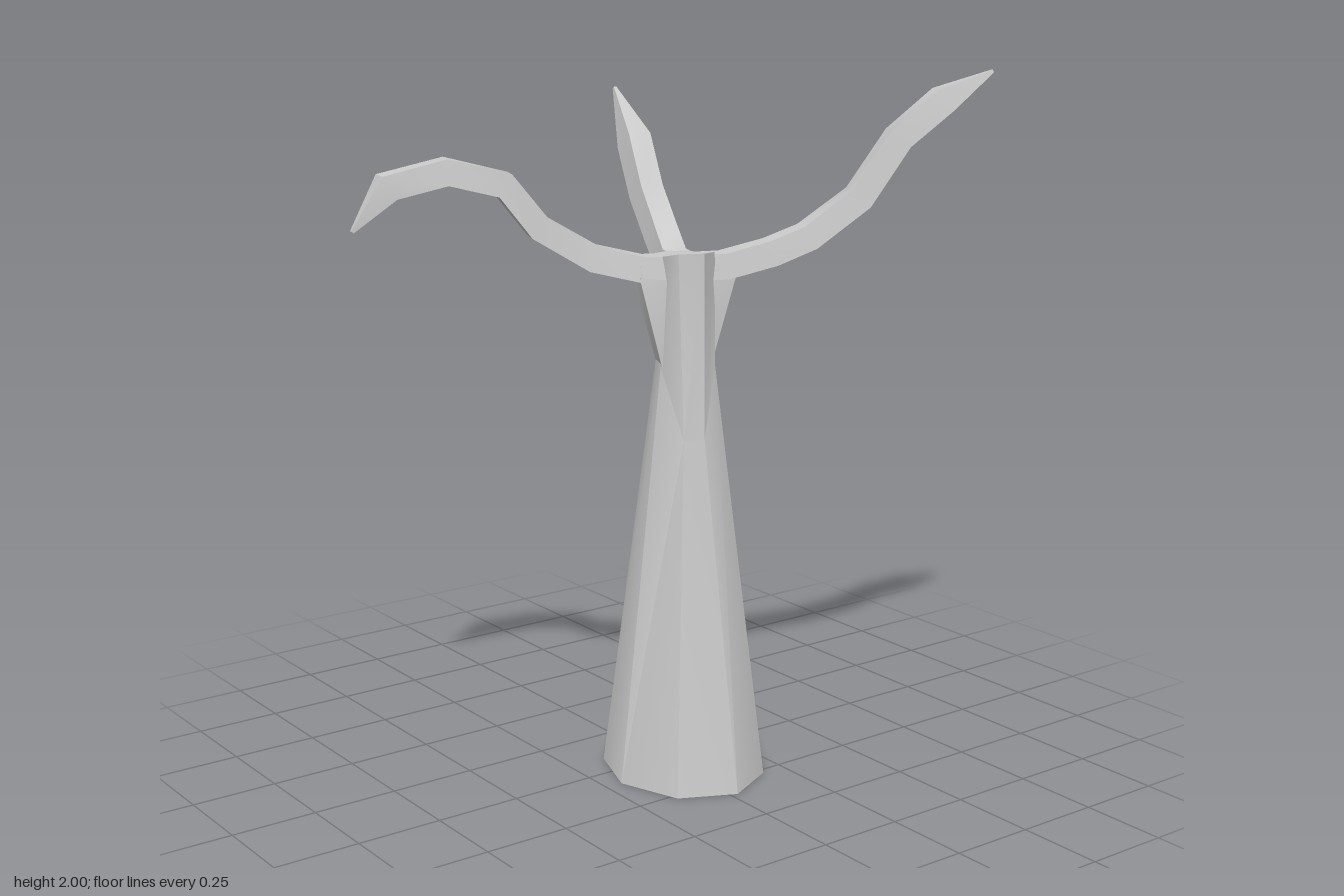
import * as THREE from 'three';
import { toCreasedNormals } from 'three/addons/utils/BufferGeometryUtils.js';

const material = new THREE.MeshStandardMaterial({ color: 0xcccccc });
const CREASE = 0.72;
const CENTRE = new THREE.Vector3(0.02, 1.475, 0.09);
const UP = new THREE.Vector3(0, 1, 0);

// Skin a list of equal-sized rings (counter-clockwise about the path) and close both ends.
function loft(name, rings) {
  const pos = [];
  const tri = (...pts) => pts.forEach((p) => pos.push(p.x, p.y, p.z));
  const n = rings[0].length;
  for (let i = 0; i < rings.length - 1; i++) {
    for (let j = 0; j < n; j++) {
      const k = (j + 1) % n;
      const [a, b, c, d] = [rings[i][j], rings[i][k], rings[i + 1][k], rings[i + 1][j]];
      tri(a, b, c);
      tri(a, c, d);
    }
  }
  const first = rings[0], last = rings[rings.length - 1];
  for (let j = 1; j < n - 1; j++) {
    tri(first[0], first[j + 1], first[j]);
    tri(last[0], last[j], last[j + 1]);
  }
  const geo = new THREE.BufferGeometry();
  geo.setAttribute('position', new THREE.Float32BufferAttribute(pos, 3));
  const mesh = new THREE.Mesh(toCreasedNormals(geo, CREASE), material);
  mesh.name = name;
  return mesh;
}

const points = (list) => list.map((p) => new THREE.Vector3(...p));

// Eight-sided tapering trunk with an uneven neck; rings run front, right, back, left.
function makeTrunk() {
  const base = Array.from({ length: 8 }, (_, i) => {
    const a = (i * Math.PI) / 4;
    return new THREE.Vector3(0.021 + 0.22 * Math.sin(a), 0, 0.089 + 0.257 * Math.cos(a));
  });
  const neck = points([
    [0.021, 1.0, 0.185], [0.08, 1.2, 0.155], [0.092, 1.2, 0.085], [0.075, 1.2, 0.03],
    [0.021, 1.2, 0.005], [-0.035, 1.2, 0.03], [-0.057, 1.2, 0.085], [-0.036, 1.0, 0.165],
  ]);
  const crown = points([
    [0.021, 1.522, 0.18], [0.08, 1.518, 0.15], [0.09, 1.508, 0.09], [0.07, 1.508, 0.025],
    [0.021, 1.508, 0.005], [-0.03, 1.508, 0.02], [-0.06, 1.508, 0.085], [-0.045, 1.522, 0.15],
  ]);
  return loft('trunk', [base, neck, crown]);
}

// Branch cross-section as [side, up]: four-sided, a little wider underneath.
const SECTION = [[0.046, -0.035], [0.034, 0.035], [-0.034, 0.035], [-0.046, -0.035]];

function makeBranch(name, path) {
  const pts = [CENTRE, ...points(path)];
  const rings = pts.map((p, i) => {
    const before = pts[Math.max(i - 1, 0)], after = pts[Math.min(i + 1, pts.length - 1)];
    const t = after.clone().sub(before).normalize();
    const side = UP.clone().cross(t).normalize();
    const up = t.clone().cross(side);
    const scale = i === pts.length - 1 ? 0.12 : 1;
    return SECTION.map(([s, u]) =>
      p.clone().addScaledVector(side, s * scale).addScaledVector(up, u * scale));
  });
  return loft(name, rings);
}

// Flare under a branch, widening from the neck up to the branch root.
function makeFlare(name, target) {
  const out = new THREE.Vector3(target[0] - CENTRE.x, 0, target[2] - CENTRE.z).normalize();
  const side = UP.clone().cross(out);
  const rings = [[1.19, 0.068, 0.03], [1.44, 0.134, 0.046], [1.503, 0.134, 0.034]].map(
    ([y, reach, half]) =>
      [[0, -half], [reach, -half], [reach, half], [0, half]].map(([r, s]) =>
        new THREE.Vector3(CENTRE.x, y, CENTRE.z)
          .addScaledVector(out, r).addScaledVector(side, s)));
  return loft(name, rings);
}

export function createModel() {
  const group = new THREE.Group();
  group.name = 'bareTree';
  group.add(makeTrunk());

  const branches = {
    left: [
      [0.13, 1.475, 0.125], [0.26, 1.505, 0.17], [0.36, 1.545, 0.21], [0.495, 1.65, 0.27],
      [0.59, 1.815, 0.325], [0.7, 1.92, 0.385], [0.832, 1.996, 0.445],
    ],
    right: [
      [-0.09, 1.475, 0.045], [-0.21, 1.507, -0.022], [-0.35, 1.598, -0.08],
      [-0.435, 1.715, -0.115], [-0.58, 1.755, -0.173], [-0.735, 1.72, -0.22],
      [-0.833, 1.605, -0.235],
    ],
    back: [
      [0.065, 1.475, -0.02], [0.095, 1.54, -0.11], [0.12, 1.645, -0.215],
      [0.135, 1.785, -0.295], [0.167, 1.926, -0.445],
    ],
  };
  for (const [key, path] of Object.entries(branches)) {
    group.add(makeBranch(key + 'Branch', path), makeFlare(key + 'Flare', path[0]));
  }
  return group;
}
